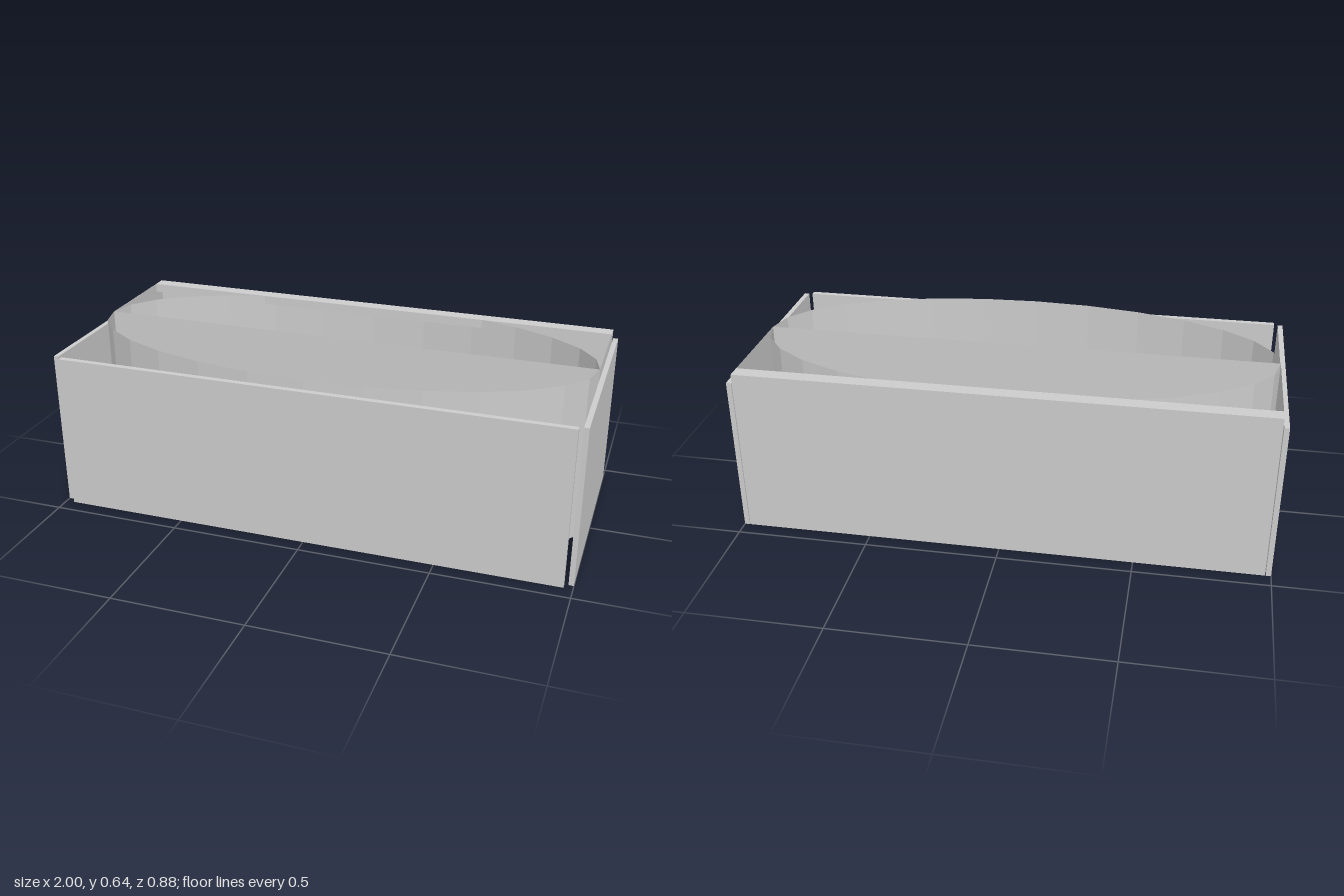
import * as THREE from 'three';

const material = new THREE.MeshStandardMaterial({ color: 0xcccccc, flatShading: true, side: THREE.DoubleSide });
const RIM = 0.645, PANEL = 0.61, FLOOR = 0.1, MID = -0.0125, BACK = -0.4425;

// Oval points running from +x through the front (+z), in 28 steps per full turn.
function oval(rx, rz, steps) {
  return Array.from({ length: steps + 1 }, (_, i) => {
    const a = (i / 28) * Math.PI * 2;
    return [rx * Math.cos(a), MID + rz * Math.sin(a)];
  });
}

// Upright sheet following an outline from the ground to the rim.
function wall(outline) {
  const position = [], index = [];
  outline.forEach(([x, z], i) => {
    position.push(x, 0, z, x, RIM, z);
    if (i) {
      const a = 2 * i - 2;
      index.push(a, a + 1, a + 2, a + 1, a + 3, a + 2);
    }
  });
  const g = new THREE.BufferGeometry();
  g.setAttribute('position', new THREE.Float32BufferAttribute(position, 3));
  g.setIndex(index);
  g.computeVertexNormals();
  return g;
}

// Flat plate filling a closed outline.
function plate(outline, y) {
  const shape = new THREE.Shape(outline.slice(0, -1).map(([x, z]) => new THREE.Vector2(x, -z)));
  return new THREE.ShapeGeometry(shape).rotateX(-Math.PI / 2).translate(0, y, 0);
}

export function createModel() {
  const model = new THREE.Group();
  const add = (name, geometry) => {
    const mesh = new THREE.Mesh(geometry, material);
    mesh.name = name;
    model.add(mesh);
  };
  const box = (name, x0, x1, y0, y1, z0, z1) => add(name,
    new THREE.BoxGeometry(x1 - x0, y1 - y0, z1 - z0)
      .translate((x0 + x1) / 2, (y0 + y1) / 2, (z0 + z1) / 2));

  // Outer tub: bowed front half, square back half
  const bow = oval(0.978, 0.43, 14);
  const outline = [...bow, [-0.978, BACK], [0.978, BACK], bow[0]];
  add('tubShell', wall(outline));
  add('tubBottom', plate(outline, 0));
  add('middlePartition', wall([bow[0], bow[14]]));

  // Upright oval basin: its front half is the bow, its back half closes the oval
  add('basinBackWall', wall(oval(0.978, 0.43, 28).slice(14)));
  add('basinFloor', plate(oval(0.85, 0.328, 28), FLOOR));

  // Ledge along the back
  box('backLedge', -0.978, 0.978, PANEL, RIM, BACK, -0.388);

  // Cladding panels
  box('frontPanel', -0.967, 0.967, 0, PANEL, 0.42, 0.4425);
  box('leftPanel', 0.981, 1, 0, PANEL, BACK, 0.42);
  box('rightPanel', -1, -0.981, 0, PANEL, BACK, 0.42);

  return model;
}
